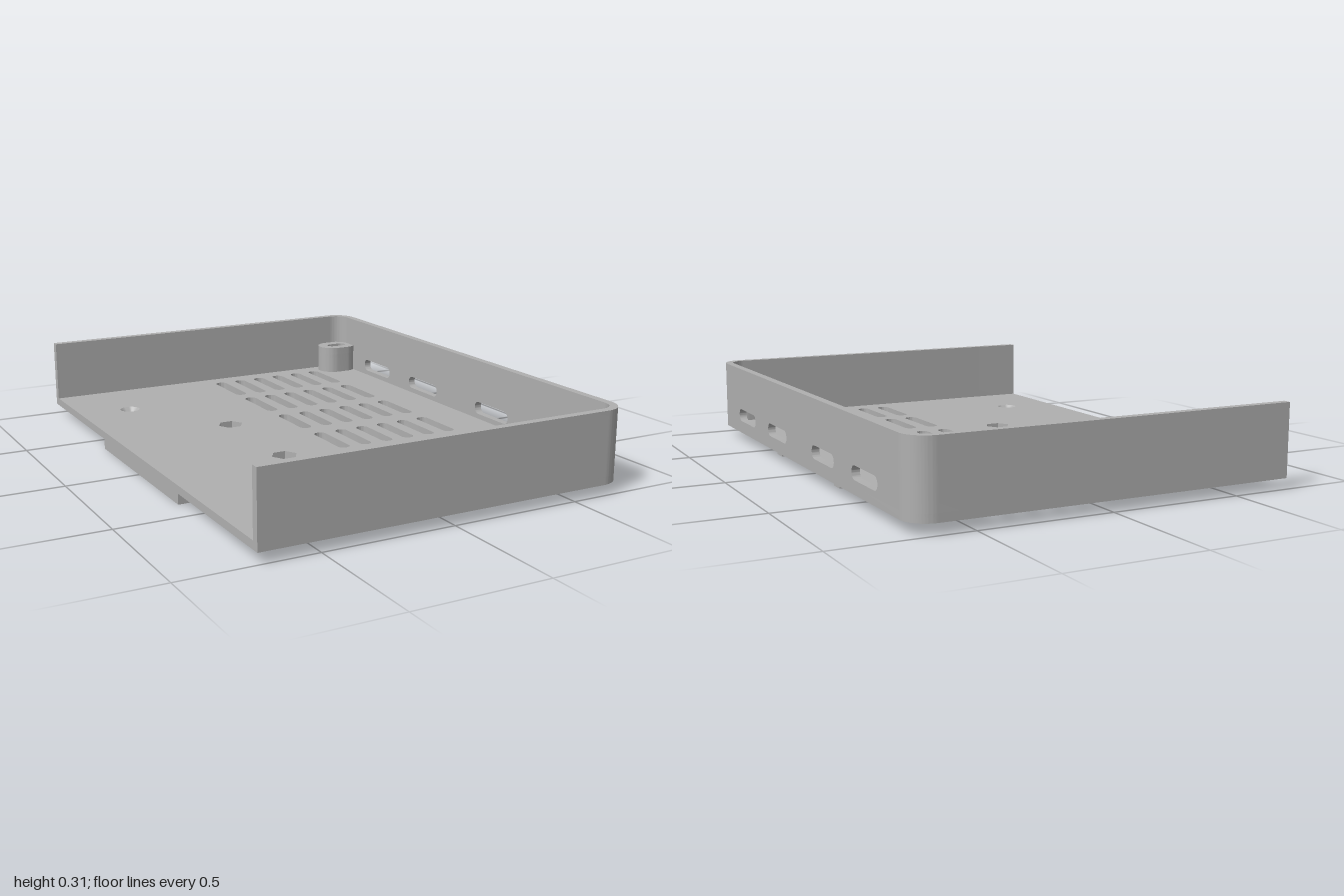
import * as THREE from 'three';
import { toCreasedNormals } from 'three/addons/utils/BufferGeometryUtils.js';

const gray = new THREE.MeshStandardMaterial({ color: 0xb0b0b0 });
gray.name = 'plain gray';

// Stadium outline; hx and hy are the half lengths of its straight core
function stadium(cx, cy, hx, hy, r, Type = THREE.Path) {
  const p = new Type();
  if (hx > 0) {
    p.absarc(cx + hx, cy, r, -Math.PI / 2, Math.PI / 2);
    p.absarc(cx - hx, cy, r, Math.PI / 2, Math.PI * 1.5);
  } else {
    p.absarc(cx, cy + hy, r, 0, Math.PI);
    p.absarc(cx, cy - hy, r, Math.PI, Math.PI * 2);
  }
  p.closePath();
  return p;
}

function circle(cx, cy, r) {
  return new THREE.Path().absarc(cx, cy, r, 0, Math.PI * 2);
}

function hexagon(cx, cy, r) {
  const pts = [];
  for (let i = 0; i < 6; i++) {
    const a = (i * Math.PI) / 3;
    pts.push(new THREE.Vector2(cx + r * Math.cos(a), cy + r * Math.sin(a)));
  }
  return new THREE.Path(pts);
}

// Plate with its right-hand corners rounded
function roundedEnd(x0, x1, hz, r) {
  const s = new THREE.Shape();
  s.moveTo(x0, -hz);
  s.lineTo(x1 - r, -hz);
  s.absarc(x1 - r, -hz + r, r, -Math.PI / 2, 0);
  s.absarc(x1 - r, hz - r, r, 0, Math.PI / 2);
  s.lineTo(x0, hz);
  s.closePath();
  return s;
}

function extrude(shape, depth) {
  const g = new THREE.ExtrudeGeometry(shape, { depth, bevelEnabled: false, curveSegments: 14 });
  return toCreasedNormals(g, 0.5);
}

export function createModel() {
  const model = new THREE.Group();
  model.name = 'ventedTray';

  const add = (name, geometry) => {
    const mesh = new THREE.Mesh(geometry, gray);
    mesh.name = name;
    model.add(mesh);
    return mesh;
  };
  // Plan shapes use (x, -z) and rise from y0 to y1
  const slab = (name, shape, y0, y1) =>
    add(name, extrude(shape, y1 - y0).rotateX(-Math.PI / 2).translate(0, y0, 0));

  // Floor with vents, nut pockets, screw holes and corner pockets
  const floor = roundedEnd(-0.72, 0.72, 1, 0.09);
  for (const z of [-0.775, -0.468, -0.158, 0.148, 0.46, 0.768]) {
    const half = Math.abs(z) < 0.2 ? 0.114 : 0.125;
    for (let i = 0; i < 6; i++) {
      floor.holes.push(stadium(0.013 + i * 0.0953, -z, 0, half - 0.024, 0.024));
    }
  }
  for (const s of [-1, 1]) {
    floor.holes.push(hexagon(-0.237, s * 0.237, 0.05));
    floor.holes.push(circle(-0.51, s * 0.653, 0.04));
    floor.holes.push(stadium(0.625, s * 0.9, 0.023, 0, 0.04));
  }
  slab('floor', floor, 0.04, 0.07);

  // Raised pad under the open edge
  const pad = roundedEnd(-0.72, -0.14, 0.378, 0.06);
  for (const s of [-1, 1]) pad.holes.push(circle(-0.237, s * 0.237, 0.029));
  slab('bottomPad', pad, 0, 0.04);

  // Slotted wall
  const panel = new THREE.Shape();
  panel.moveTo(-0.91, 0.07);
  panel.lineTo(0.91, 0.07);
  panel.lineTo(0.91, 0.31);
  panel.lineTo(-0.91, 0.31);
  panel.closePath();
  for (const z of [-0.632, -0.249, 0.249, 0.632]) {
    panel.holes.push(stadium(z, 0.115, 0.085, 0, 0.025));
  }
  add('slottedWall', extrude(panel, 0.03).rotateY(Math.PI / 2).translate(0.69, 0, 0));

  for (const s of [-1, 1]) {
    // End wall including its rounded corner
    const wall = new THREE.Shape();
    wall.moveTo(-0.72, s);
    wall.lineTo(0.63, s);
    wall.absarc(0.63, s * 0.91, 0.09, (s * Math.PI) / 2, 0, s > 0);
    wall.lineTo(0.69, s * 0.91);
    wall.absarc(0.63, s * 0.91, 0.06, 0, (s * Math.PI) / 2, s < 0);
    wall.lineTo(-0.72, s * 0.97);
    wall.closePath();
    slab('endWall', wall, 0.07, 0.31);

    // Hollow corner boss with a slotted cap
    const boss = stadium(0.625, s * 0.9, 0.023, 0, 0.065, THREE.Shape);
    boss.holes.push(stadium(0.625, s * 0.9, 0.023, 0, 0.04));
    slab('cornerBoss', boss, 0.07, 0.155);
    const cap = stadium(0.625, s * 0.9, 0.023, 0, 0.065, THREE.Shape);
    cap.holes.push(stadium(0.625, s * 0.9, 0.023, 0, 0.022));
    slab('cornerBossCap', cap, 0.155, 0.185);

    // Countersunk screw seat
    const profile = [[0.04, 0.07], [0.022, 0.052], [0.022, 0.04], [0.04, 0.04]]
      .map(([x, y]) => new THREE.Vector2(x, y));
    add('screwSeat', toCreasedNormals(new THREE.LatheGeometry(profile, 28), 0.5))
      .position.set(-0.51, 0, s * 0.653);

    // Rail under the floor
    add('bottomRail', new THREE.BoxGeometry(0.85, 0.025, 0.056))
      .position.set(0.267, 0.0275, s * 0.31);
  }
  return model;
}
